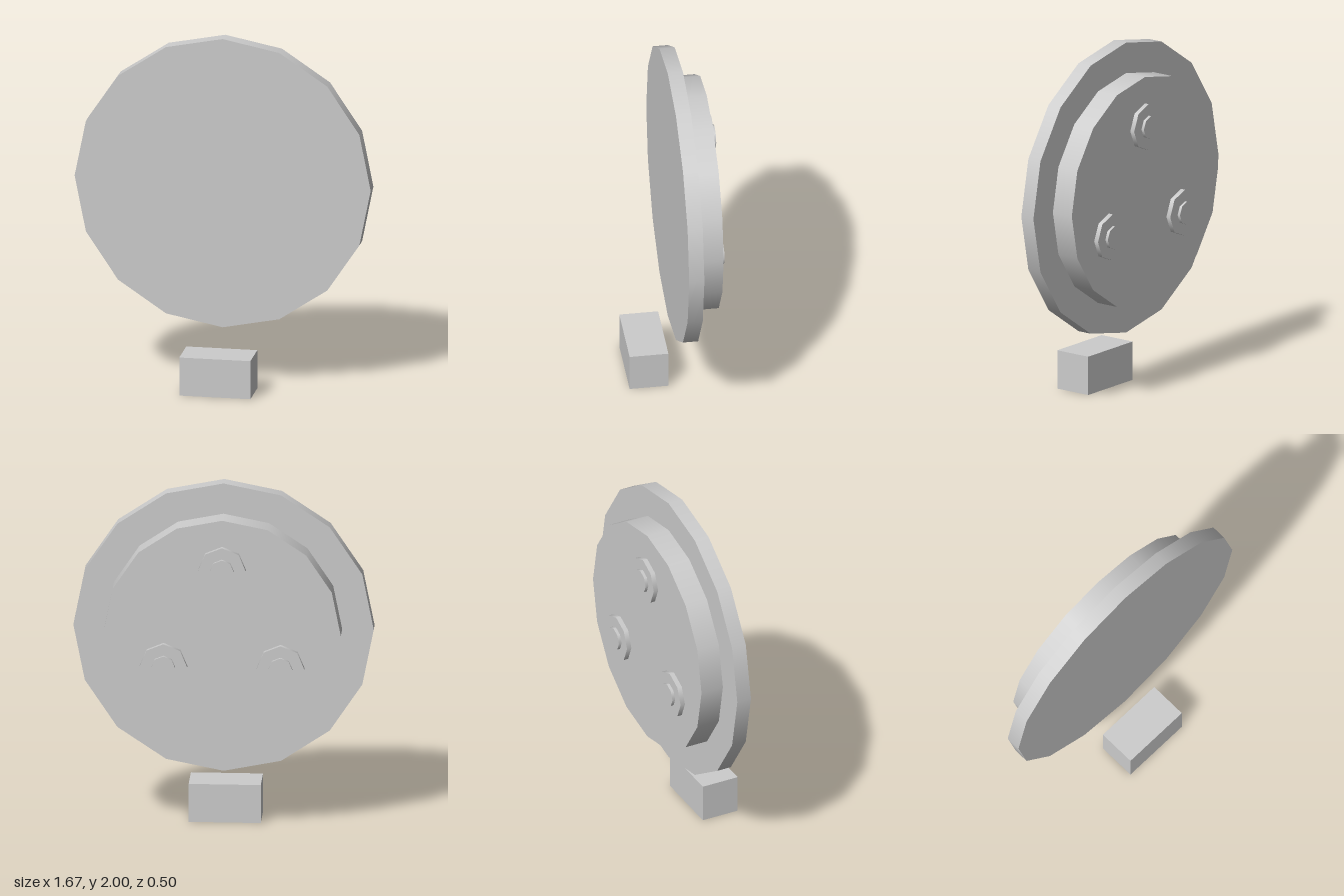
import * as THREE from 'three';

export function createModel() {
  const model = new THREE.Group();
  const grey = new THREE.MeshStandardMaterial({ color: 0xcccccc });
  grey.name = 'light grey';

  // Faceted disc lying across z, between zFront and zBack
  function disc(name, radius, sides, x, y, zFront, zBack) {
    const geometry = new THREE.CylinderGeometry(radius, radius, zFront - zBack, sides);
    geometry.rotateX(Math.PI / 2);
    const mesh = new THREE.Mesh(geometry, grey);
    mesh.name = name;
    mesh.position.set(x, y, (zFront + zBack) / 2);
    return mesh;
  }

  const centreY = 1.167;

  // Wide front plate and narrower rear plate
  model.add(disc('frontPlate', 0.833, 16, 0, centreY, 0.01, -0.075));
  model.add(disc('rearPlate', 0.658, 16, 0, centreY, -0.075, -0.208));

  // Three stepped bolts evenly spaced on the back
  for (let i = 0; i < 3; i++) {
    const angle = Math.PI / 2 + (i * Math.PI * 2) / 3;
    const x = 0.375 * Math.cos(angle);
    const y = centreY + 0.375 * Math.sin(angle);
    const bolt = new THREE.Group();
    bolt.name = 'bolt' + (i + 1);
    bolt.add(disc('boltWasher', 0.132, 8, x, y, -0.208, -0.235));
    bolt.add(disc('boltHead', 0.066, 8, x, y, -0.235, -0.252));
    model.add(bolt);
  }

  // Separate block below the disc
  const block = new THREE.Mesh(new THREE.BoxGeometry(0.4, 0.22, 0.217), grey);
  block.name = 'block';
  block.position.set(0, 0.11, 0.1435);
  model.add(block);

  return model;
}
